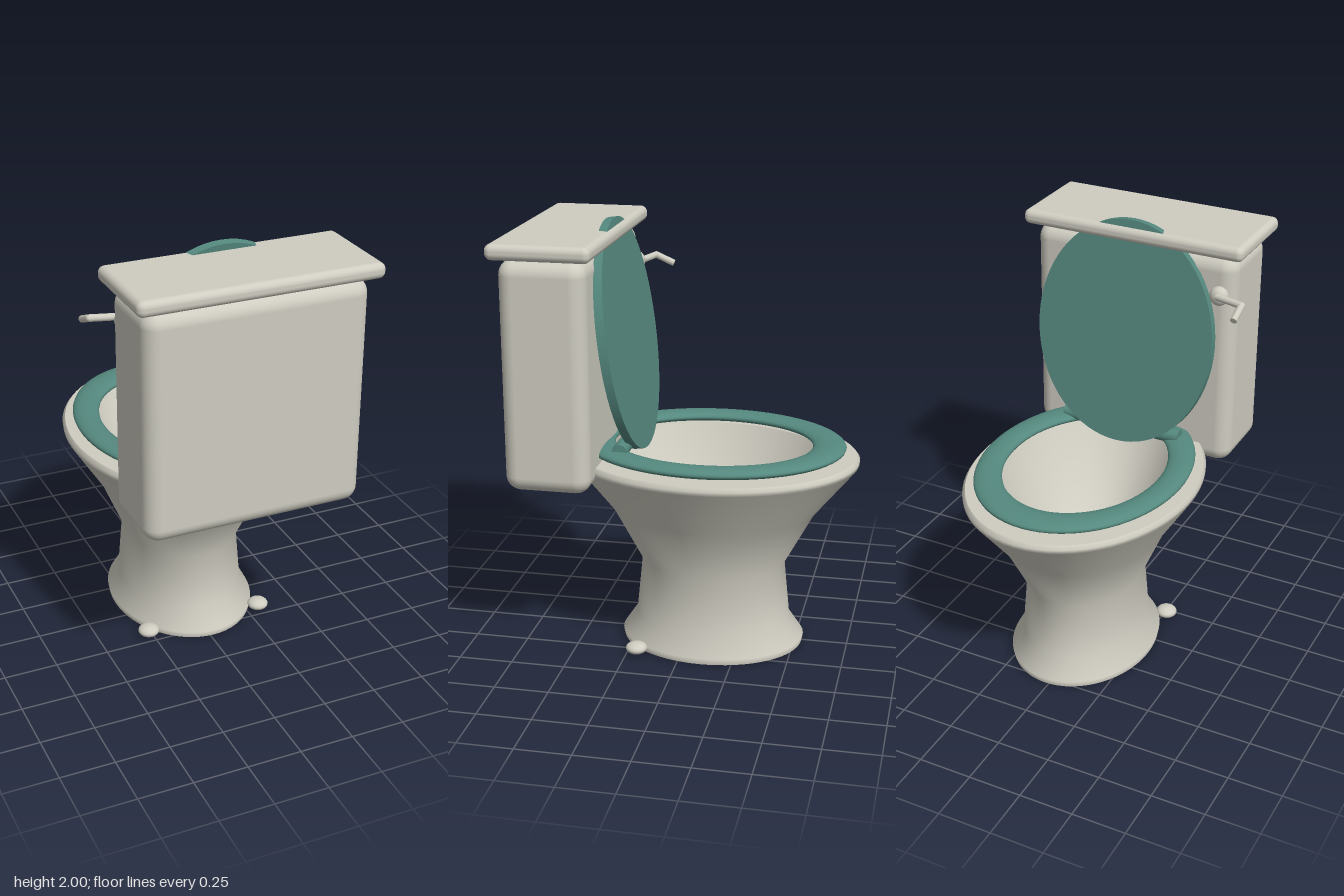
import * as THREE from 'three';
import { RoundedBoxGeometry } from 'three/addons/geometries/RoundedBoxGeometry.js';

const CX = 0.017;      // centre line of the fixture
const BOWL_Z = -0.108; // centre of the oval bowl
const OVAL = 1.28;     // length to width of the bowl and seat

export function createModel() {
  const model = new THREE.Group();
  const china = new THREE.MeshStandardMaterial({ color: 0xcfcdc1 });
  china.name = 'china';
  china.side = THREE.DoubleSide;
  const teal = new THREE.MeshStandardMaterial({ color: 0x55897f });
  teal.name = 'teal';
  const dark = new THREE.MeshStandardMaterial({ color: 0x2f3830 });
  dark.name = 'darkWater';

  function add(name, geometry, material, x, y, z) {
    const mesh = new THREE.Mesh(geometry, material);
    mesh.name = name;
    mesh.position.set(x, y, z);
    model.add(mesh);
    return mesh;
  }

  // Pedestal and outer bowl wall, open underneath
  const points = (list) => list.map(([r, y]) => new THREE.Vector2(r, y));
  const outer = points([[0.333, 0], [0.338, 0.03], [0.285, 0.13], [0.264, 0.4],
    [0.373, 0.66], [0.525, 0.9], [0.527, 0.92], [0.515, 0.937]]);
  add('pedestal', new THREE.LatheGeometry(outer, 64), china, CX, 0, BOWL_Z).scale.z = OVAL;

  // Flat rim, then the inside of the bowl
  const rim = points([[0.515, 0.937], [0.4, 0.937]]);
  add('rim', new THREE.LatheGeometry(rim, 64), china, CX, 0, BOWL_Z).scale.z = OVAL;
  const inner = points([[0.4, 0.937], [0.36, 0.84], [0.27, 0.66], [0.15, 0.5], [0, 0.49]]);
  add('bowlInside', new THREE.LatheGeometry(inner, 64), china, CX, 0, BOWL_Z).scale.z = OVAL;

  // Dark water at the bottom of the bowl
  const water = new THREE.CircleGeometry(0.15, 48).rotateX(-Math.PI / 2);
  add('water', water, dark, CX, 0.505, BOWL_Z).scale.z = OVAL;

  // Oval seat ring
  const seat = new THREE.TorusGeometry(0.418, 0.06, 20, 72).rotateX(Math.PI / 2);
  add('seat', seat, teal, CX, 0.973, BOWL_Z).scale.set(1, 0.42, OVAL);

  // Raised lid leaning back through the tank cover
  const lid = new THREE.CylinderGeometry(1, 1, 0.04, 72).rotateX(Math.PI / 2)
    .scale(0.442, 0.535, 1).rotateX(0.14);
  add('seatLid', lid, teal, CX, 1.468, 0.293);

  // Hinges
  for (const side of [-1, 1]) {
    const hinge = new THREE.CylinderGeometry(0.035, 0.035, 0.12, 20).rotateZ(Math.PI / 2);
    add('hinge', hinge, teal, CX + side * 0.24, 0.997, 0.268);
  }

  // Tank and its cover
  add('tank', new RoundedBoxGeometry(1.01, 1.045, 0.39, 6, 0.07), china, CX, 1.367, 0.555);
  add('tankCover', new RoundedBoxGeometry(1.095, 0.07, 0.462, 5, 0.03), china, CX, 1.93, 0.552);

  // Flush handle: round boss and a bent lever
  add('handleBoss', new THREE.SphereGeometry(0.045, 24, 16), china, -0.42, 1.715, 0.35)
    .scale.z = 0.8;
  const path = [[-0.42, 1.72, 0.325], [-0.553, 1.72, 0.288], [-0.553, 1.682, 0.2]]
    .map((p) => new THREE.Vector3(...p));
  for (let i = 0; i < 2; i++) {
    const dir = path[i + 1].clone().sub(path[i]);
    const mid = path[i].clone().addScaledVector(dir, 0.5);
    const rod = add('handleLever', new THREE.CylinderGeometry(0.016, 0.016, dir.length(), 16),
      china, mid.x, mid.y, mid.z);
    rod.quaternion.setFromUnitVectors(new THREE.Vector3(0, 1, 0), dir.normalize());
  }
  add('handleElbow', new THREE.SphereGeometry(0.016, 16, 12), china, ...path[1].toArray());

  // Floor bolt caps
  for (const side of [-1, 1]) {
    add('boltCap', new THREE.SphereGeometry(0.05, 24, 16), china, CX + side * 0.287, 0.033, 0.202)
      .scale.y = 0.55;
  }
  return model;
}
